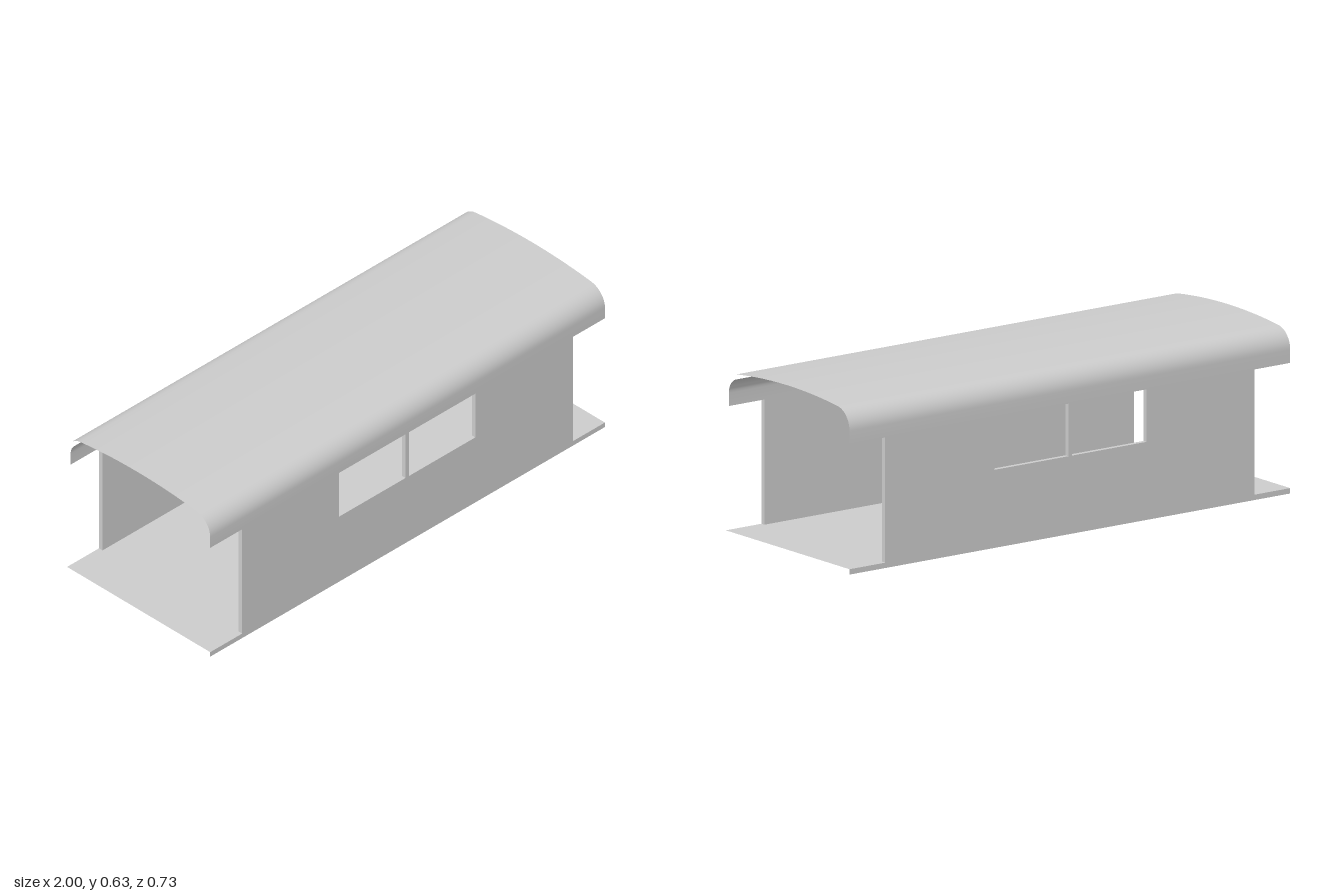
import * as THREE from 'three';
import { toCreasedNormals } from 'three/addons/utils/BufferGeometryUtils.js';

const HALF_WIDTH = 0.367, THICK = 0.018, FLOOR = 0.02, EAVE = 0.485;
const material = new THREE.MeshStandardMaterial({ color: 0xcccccc });

function add(group, name, geometry) {
  const mesh = new THREE.Mesh(geometry, material);
  mesh.name = name;
  group.add(mesh);
  return mesh;
}

// Sweeps a closed loop of [z, y] points along x, leaving the two ends open
function sweepAlongX(loop, halfLength) {
  const positions = [];
  loop.forEach(([z0, y0], i) => {
    const [z1, y1] = loop[(i + 1) % loop.length];
    const a = [-halfLength, y0, z0], b = [halfLength, y0, z0];
    const c = [halfLength, y1, z1], d = [-halfLength, y1, z1];
    positions.push(...a, ...b, ...c, ...a, ...c, ...d);
  });
  const geometry = new THREE.BufferGeometry();
  geometry.setAttribute('position', new THREE.Float32BufferAttribute(positions, 3));
  return toCreasedNormals(geometry, 0.6);
}

// Gently arched roof line with rounded shoulders, from +z eave to -z eave
function roofLine(inset) {
  const radius = 0.08, centreZ = HALF_WIDTH - radius, centreY = 0.533;
  const tilt = THREE.MathUtils.degToRad(7);
  const endAngle = Math.PI / 2 - tilt;
  const bigRadius = centreZ / Math.sin(tilt) + radius;
  const bigCentreY = centreY + radius * Math.cos(tilt) - bigRadius * Math.cos(tilt);
  const half = [[HALF_WIDTH - inset, EAVE]];
  for (let i = 0; i <= 10; i++) {
    const t = endAngle * i / 10;
    half.push([centreZ + (radius - inset) * Math.cos(t), centreY + (radius - inset) * Math.sin(t)]);
  }
  for (let i = 1; i <= 6; i++) {
    const t = tilt * (1 - i / 6);
    half.push([(bigRadius - inset) * Math.sin(t), bigCentreY + (bigRadius - inset) * Math.cos(t)]);
  }
  const mirrored = half.slice(0, -1).reverse().map(([z, y]) => [-z, y]);
  return [...half, ...mirrored];
}

// Side wall outline with two window notches that reach up to the eave
function wallGeometry() {
  const sill = 0.29;
  const outline = [
    [-0.838, FLOOR], [0.838, FLOOR], [0.838, EAVE],
    [0.343, EAVE], [0.343, sill], [0.006, sill], [0.006, EAVE],
    [-0.01, EAVE], [-0.01, sill], [-0.347, sill], [-0.347, EAVE],
    [-0.838, EAVE],
  ];
  const shape = new THREE.Shape(outline.map(([x, y]) => new THREE.Vector2(x, y)));
  return new THREE.ExtrudeGeometry(shape, { depth: THICK, bevelEnabled: false });
}

export function createModel() {
  const model = new THREE.Group();
  model.name = 'carBody';

  add(model, 'floor', sweepAlongX([
    [HALF_WIDTH, FLOOR], [-HALF_WIDTH, FLOOR], [-HALF_WIDTH, 0], [HALF_WIDTH, 0],
  ], 1));

  add(model, 'roof', sweepAlongX([...roofLine(0), ...roofLine(THICK).reverse()], 1));

  add(model, 'frontWall', wallGeometry()).position.z = HALF_WIDTH - THICK;
  add(model, 'backWall', wallGeometry()).position.z = -HALF_WIDTH;

  return model;
}
